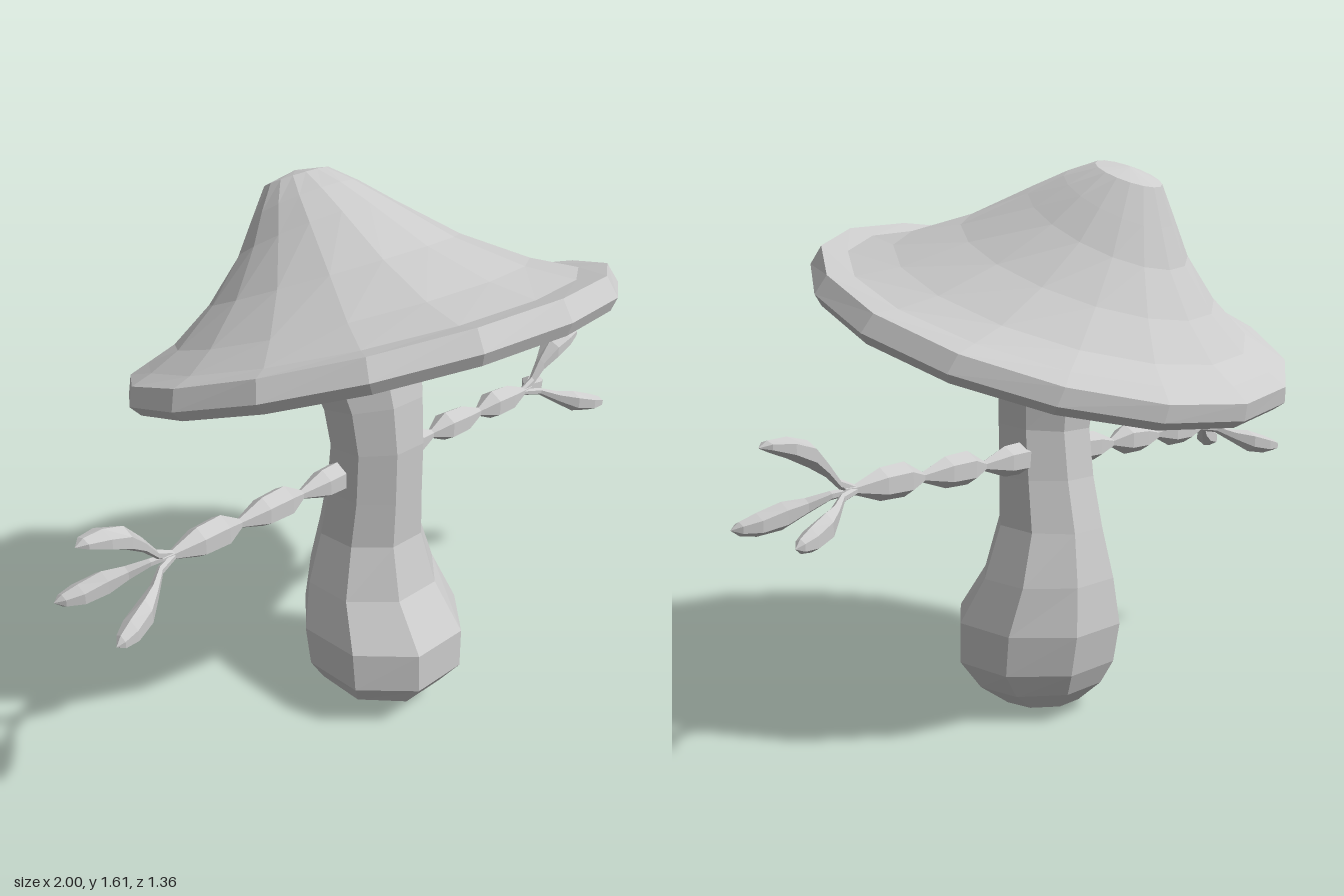
import * as THREE from 'three';

// Skin a list of closed rings (arrays of Vector3) into one faceted surface.
function loft(rings) {
  const n = rings[0].length, pos = [], idx = [];
  rings.forEach(r => r.forEach(p => pos.push(p.x, p.y, p.z)));
  for (let k = 0; k < rings.length - 1; k++) {
    for (let i = 0; i < n; i++) {
      const j = (i + 1) % n;
      const a = k * n + i, b = k * n + j, c = a + n, d = b + n;
      idx.push(a, b, d, a, d, c);
    }
  }
  const g = new THREE.BufferGeometry();
  g.setAttribute('position', new THREE.Float32BufferAttribute(pos, 3));
  g.setIndex(idx);
  const flat = g.toNonIndexed();
  flat.computeVertexNormals();
  return flat;
}

// Tilted ring given by its back and front points in the z/y plane and its half width in x.
function tiltedRing([zBack, yBack, zFront, yFront, halfX], sides, flatFront) {
  const off = flatFront ? Math.PI / sides : 0;
  const s = flatFront ? 1 / Math.cos(off) : 1;
  const pts = [];
  for (let i = 0; i < sides; i++) {
    const a = off + (i / sides) * Math.PI * 2;
    const c = Math.cos(a) * s, q = Math.sin(a) * s;
    pts.push(new THREE.Vector3(
      halfX * q,
      (yFront + yBack) / 2 + (yFront - yBack) / 2 * c,
      (zFront + zBack) / 2 + (zFront - zBack) / 2 * c));
  }
  return pts;
}

// Upright ring across the x axis: [x, y, z, radiusY, radiusZ].
function crossRing([x, y, z, ry, rz], sides) {
  const pts = [];
  for (let i = 0; i < sides; i++) {
    const a = (i / sides) * Math.PI * 2;
    pts.push(new THREE.Vector3(x, y + ry * Math.cos(a), z + rz * Math.sin(a)));
  }
  return pts;
}

// Ring in the plane of the tilted cap: radius and height above the rim plane.
const TILT = 0.323;
function capDisc(r, h) {
  const c = Math.cos(TILT), s = Math.sin(TILT), y = 1.17;
  return [-r * c - h * s, y - r * s + h * c, r * c - h * s, y + r * s + h * c, r * 0.965];
}

export function createModel() {
  const model = new THREE.Group();
  const grey = new THREE.MeshStandardMaterial({ color: 0xcccccc, flatShading: true });
  grey.name = 'light grey';
  const add = (parent, name, geometry) => {
    const m = new THREE.Mesh(geometry, grey);
    m.name = name;
    parent.add(m);
    return m;
  };

  // Stem: bulbous foot, narrow waist, flaring neck under the cap
  const stem = [
    [0.03, 0, 0.03, 0, 0],
    [-0.075, 0.03, 0.15, 0.012, 0.1],
    [-0.135, 0.09, 0.23, 0.07, 0.175],
    [-0.168, 0.16, 0.297, 0.155, 0.222],
    [-0.19, 0.28, 0.297, 0.28, 0.226],
    [-0.178, 0.42, 0.2, 0.42, 0.188],
    [-0.15, 0.57, 0.157, 0.58, 0.143],
    [-0.118, 0.72, 0.16, 0.72, 0.132],
    [-0.102, 0.86, 0.163, 0.88, 0.13],
    [-0.118, 0.97, 0.152, 1.02, 0.142],
    [-0.155, 1.05, 0.13, 1.14, 0.165],
    [-0.205, 1.09, 0.14, 1.2, 0.182],
    [-0.23, 1.21, 0.155, 1.33, 0.205],
  ];
  add(model, 'stem', loft(stem.map(r => tiltedRing(r, 8, true))));

  // Collar around the neck
  const collar = [
    [-0.12, 1.03, 0.12, 1.11, 0.13],
    [-0.185, 1.005, 0.175, 1.112, 0.185],
    [-0.203, 0.998, 0.185, 1.118, 0.2],
    [-0.203, 1.025, 0.188, 1.155, 0.2],
    [-0.15, 1.06, 0.13, 1.15, 0.15],
  ];
  add(model, 'collar', loft(collar.map(r => tiltedRing(r, 8, true))));

  // Cap: hollow underside, thick rim, then the swept-back crown
  const cap = [
    capDisc(0, 0.11), capDisc(0.22, 0.095), capDisc(0.645, 0.03),
    capDisc(0.69, -0.03), capDisc(0.715, 0.0),
    [-0.685, 0.988, 0.645, 1.45, 0.665],
    [-0.64, 1.03, 0.565, 1.425, 0.6],
    [-0.575, 1.08, 0.42, 1.437, 0.5],
    [-0.495, 1.19, 0.21, 1.483, 0.355],
    [-0.43, 1.32, 0.0, 1.557, 0.225],
    [-0.4, 1.43, -0.11, 1.592, 0.158],
    [-0.373, 1.535, -0.2, 1.612, 0.095],
    [-0.29, 1.592, -0.29, 1.592, 0],
  ];
  add(model, 'cap', loft(cap.map(r => tiltedRing(r, 16, false))));

  // Arms: beaded twigs, each ending in three leaf fingers
  const twig = [[0.08, 0.78, 0, 0.045, 0.045]];
  [0.16, 0.385, 0.61].forEach(x => twig.push(
    [x - 0.05, 0.782, 0, 0.047, 0.045],
    [x + 0.03, 0.78, 0, 0.044, 0.042],
    [x + 0.112, 0.778, 0, 0.014, 0.014]));
  twig.push([0.76, 0.78, 0, 0.014, 0.014]);

  const upperLeaf = [
    [0.71, 0.776, 0, 0.01, 0.01], [0.77, 0.8, 0, 0.014, 0.012],
    [0.81, 0.845, 0, 0.022, 0.02], [0.86, 0.887, 0, 0.034, 0.042],
    [0.92, 0.91, 0, 0.027, 0.046], [0.975, 0.92, 0, 0.014, 0.028],
    [1.0, 0.918, 0, 0, 0],
  ];
  const lowerLeaf = [
    [0.71, 0.778, 0, 0.01, 0.01], [0.78, 0.768, 0.025, 0.012, 0.012],
    [0.83, 0.742, 0.062, 0.022, 0.02], [0.88, 0.722, 0.092, 0.036, 0.034],
    [0.94, 0.706, 0.113, 0.03, 0.036], [0.98, 0.7, 0.127, 0.018, 0.022],
    [1.0, 0.698, 0.135, 0, 0],
  ];

  ['leftArm', 'rightArm'].forEach((name, k) => {
    const arm = new THREE.Group();
    arm.name = name;
    add(arm, 'twig', loft(twig.map(r => crossRing(r, 6))));
    add(arm, 'upperLeaf', loft(upperLeaf.map(r => crossRing(r, 6))));
    [1, -1].forEach(s => add(arm, s > 0 ? 'frontLeaf' : 'backLeaf',
      loft(lowerLeaf.map(([x, y, z, ry, rz]) => crossRing([x, y, z * s, ry, rz], 6)))));
    arm.rotation.y = k * Math.PI;
    model.add(arm);
  });

  return model;
}
